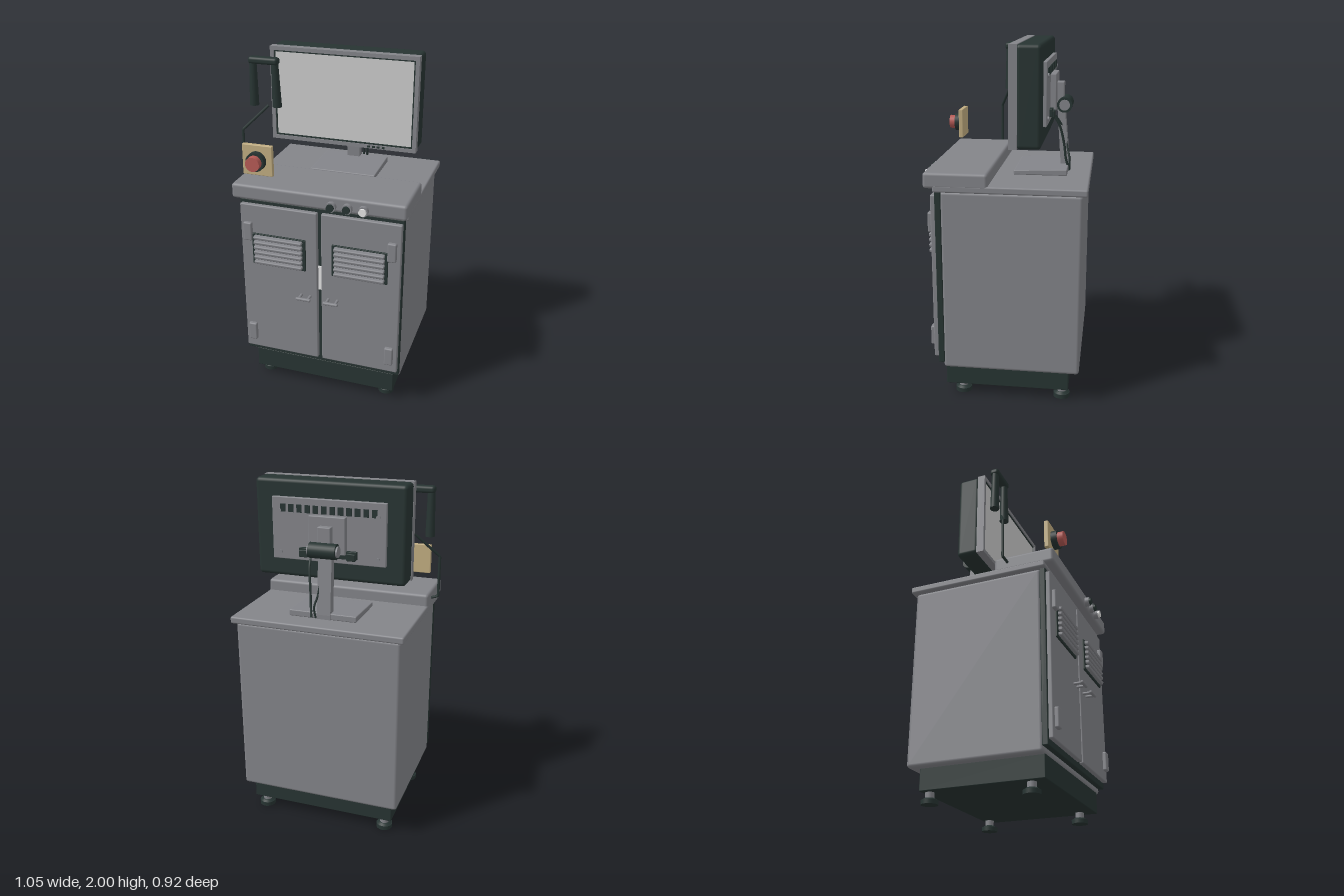
import * as THREE from 'three';
import { RoundedBoxGeometry } from 'three/addons/geometries/RoundedBoxGeometry.js';

const mat = (name, color, side = THREE.FrontSide) => {
  const m = new THREE.MeshStandardMaterial({ color, side });
  m.name = name;
  return m;
};

export function createModel() {
  const grey = mat('grey metal', 0x838489);
  const dark = mat('dark plastic', 0x273432);
  const pale = mat('pale screen', 0xcbcbcb);
  const white = mat('white plastic', 0xe4e4e4);
  const tan = mat('tan plate', 0xc0ac80);
  const red = mat('red button', 0xb55a55);

  const root = new THREE.Group();
  root.name = 'workstation';

  const add = (name, geometry, material, parent = root) => {
    const mesh = new THREE.Mesh(geometry, material);
    mesh.name = name;
    parent.add(mesh);
    return mesh;
  };
  // Box given by its limits on each axis, with optional rounded edges
  const box = (name, material, [x0, x1], [y0, y1], [z0, z1], r = 0) => {
    const s = [x1 - x0, y1 - y0, z1 - z0];
    const g = r ? new RoundedBoxGeometry(...s, 3, r) : new THREE.BoxGeometry(...s);
    g.translate((x0 + x1) / 2, (y0 + y1) / 2, (z0 + z1) / 2);
    return add(name, g, material);
  };
  // Cylinder between two heights / depths / sideways limits along an axis
  const rod = (name, material, axis, r, a, b, x, y, z, r2 = r) => {
    const g = new THREE.CylinderGeometry(r2, r, b - a, 28);
    if (axis === 'z') g.rotateX(Math.PI / 2);
    if (axis === 'x') g.rotateZ(-Math.PI / 2);
    const m = (a + b) / 2;
    g.translate(axis === 'x' ? m : x, axis === 'y' ? m : y, axis === 'z' ? m : z);
    return add(name, g, material);
  };
  const tube = (name, material, points, r, smooth) => {
    const v = points.map(p => new THREE.Vector3(...p));
    let path = new THREE.CatmullRomCurve3(v);
    if (!smooth) {
      path = new THREE.CurvePath();
      for (let i = 1; i < v.length; i++) path.add(new THREE.LineCurve3(v[i - 1], v[i]));
    }
    return add(name, new THREE.TubeGeometry(path, 48, r, 8), material);
  };

  // Cabinet, plinth and worktop
  box('cabinet', grey, [-0.455, 0.5], [0.185, 1.225], [-0.435, 0.335], 0.018);
  box('doorSurround', dark, [-0.455, 0.5], [0.215, 1.225], [0.33, 0.365], 0.006);
  box('plinth', dark, [-0.41, 0.46], [0.065, 0.19], [-0.375, 0.33], 0.004);
  box('worktop', grey, [-0.477, 0.523], [1.225, 1.265], [-0.46, 0.37], 0.01);
  box('controlConsole', grey, [-0.477, 0.523], [1.245, 1.333], [0.07, 0.422], 0.017);

  // Levelling feet
  for (const x of [-0.36, 0.4]) for (const z of [0.24, -0.335]) {
    rod('footPad', dark, 'y', 0.047, 0, 0.024, x, 0, z);
    rod('footCollar', dark, 'y', 0.044, 0.024, 0.034, x, 0, z, 0.03);
    rod('footStem', grey, 'y', 0.025, 0.03, 0.068, x, 0, z);
  }

  // Doors with hinges, louvred vents and handles, mirrored about the middle
  const mid = 0.0235;
  for (const s of [-1, 1]) {
    const span = (a, b) => [mid + s * a, mid + s * b].sort((p, q) => p - q);
    box('door', grey, span(0.012, 0.47), [0.25, 1.203], [0.36, 0.39], 0.007);
    for (const y of [0.31, 0.985]) {
      box('hinge', grey, span(0.397, 0.447), [y, y + 0.112], [0.385, 0.413], 0.008);
    }
    box('ventFrame', dark, span(0.078, 0.4), [0.835, 1.03], [0.385, 0.4], 0.003);
    for (let i = 0; i < 6; i++) {
      const slat = add('ventSlat', new RoundedBoxGeometry(0.29, 0.02, 0.03, 2, 0.006), grey);
      slat.position.set(mid + s * 0.239, 0.857 + i * 0.031, 0.409);
      slat.rotation.x = 0.2;
    }
    box('handleGrip', grey, span(0.037, 0.127), [0.664, 0.681], [0.43, 0.449], 0.007);
    for (const x of [0.055, 0.109]) {
      rod('handlePost', grey, 'z', 0.008, 0.385, 0.44, mid + s * x, 0.672, 0);
    }
  }
  box('latchPlate', white, [0.012, 0.035], [0.715, 0.868], [0.362, 0.371]);

  // Console push buttons
  [[0.11, dark], [0.2, dark], [0.29, white]].forEach(([x, cap]) => {
    rod('buttonRing', grey, 'z', 0.028, 0.418, 0.446, x, 1.278, 0);
    rod('buttonCap', cap, 'z', 0.021, 0.44, 0.458, x, 1.278, 0);
  });

  // Emergency stop
  box('stopPlate', tan, [-0.42, -0.245], [1.38, 1.555], [0.35, 0.376], 0.004);
  rod('stopCollar', dark, 'z', 0.054, 0.374, 0.41, -0.333, 1.467, 0);
  rod('stopButton', red, 'z', 0.041, 0.41, 0.445, -0.333, 1.467, 0);

  // Monitor housing, bezel frame and screen
  box('monitorHousing', dark, [-0.41, 0.455], [1.455, 2], [-0.205, -0.07], 0.022);
  const rect = (P, x0, x1, y0, y1) => {
    const p = new P();
    p.moveTo(x0, y0); p.lineTo(x1, y0); p.lineTo(x1, y1); p.lineTo(x0, y1); p.closePath();
    return p;
  };
  const frame = (name, material, o, i, z, depth) => {
    const shape = rect(THREE.Shape, ...o);
    shape.holes.push(rect(THREE.Path, ...i));
    const g = new THREE.ExtrudeGeometry(shape, { depth, bevelEnabled: false });
    add(name, g.translate(0, 0, z), material);
  };
  frame('bezel', grey, [-0.41, 0.455, 1.455, 2], [-0.388, 0.433, 1.477, 1.978], -0.078, 0.046);
  frame('screenBorder', dark, [-0.388, 0.433, 1.477, 1.978], [-0.38, 0.425, 1.485, 1.97], -0.075, 0.037);
  box('screen', pale, [-0.381, 0.426], [1.484, 1.971], [-0.07, -0.044]);
  for (const x of [0.18, 0.21, 0.236, 0.268]) {
    box('monitorKey', dark, [x - 0.008, x + 0.008], [1.461, 1.472], [-0.034, -0.027]);
  }

  // Monitor back plate with cooling slots, screws and connectors
  box('backPlate', grey, [-0.305, 0.35], [1.56, 1.905], [-0.225, -0.2], 0.004);
  for (let i = 0; i < 12; i++) {
    const x = -0.24 + i * 0.0477;
    box('coolingSlot', dark, [x - 0.015, x + 0.015], [1.825, 1.868], [-0.229, -0.222]);
  }
  for (const x of [-0.26, 0.305]) for (const y of [1.6, 1.83]) {
    rod('screw', grey, 'z', 0.011, -0.233, -0.22, x, y, 0);
  }
  box('connectorPanel', dark, [-0.145, 0.19], [1.59, 1.635], [-0.242, -0.22], 0.003);
  for (const x of [-0.115, 0.16]) {
    box('connector', dark, [x - 0.025, x + 0.025], [1.585, 1.625], [-0.255, -0.235], 0.004);
  }

  // Stand: mounting plate, tilt hinge, neck and foot
  box('mountPlate', grey, [-0.085, 0.125], [1.615, 1.82], [-0.258, -0.22], 0.005);
  box('mountBracket', grey, [-0.015, 0.06], [1.65, 1.77], [-0.297, -0.25], 0.005);
  rod('tiltHinge', dark, 'x', 0.043, -0.055, 0.1, 0, 1.645, -0.303);
  rod('tiltHingeCap', grey, 'x', 0.03, -0.065, 0.11, 0, 1.645, -0.303);
  const side = new THREE.Shape([[0.26, 1.62], [0.3, 1.64], [0.333, 1.29], [0.333, 1.265], [0.285, 1.265]]
    .map(p => new THREE.Vector2(...p)));
  const neck = new THREE.ExtrudeGeometry(side, { depth: 0.078, bevelEnabled: false });
  neck.rotateY(Math.PI / 2).translate(-0.025, 0, 0);
  add('neck', neck, grey);
  const foot = new RoundedBoxGeometry(0.395, 0.036, 0.3, 3, 0.006);
  const fp = foot.attributes.position;
  for (let i = 0; i < fp.count; i++) {
    // top slopes down toward the front
    if (fp.getY(i) > 0) fp.setY(i, fp.getY(i) - 0.01 * (fp.getZ(i) / 0.3 + 0.5));
  }
  foot.computeVertexNormals();
  add('standFoot', foot.translate(0.0225, 1.283, -0.18), grey);

  // Cables behind the neck
  tube('monitorCable', dark, [[0.12, 1.6, -0.235], [0.115, 1.54, -0.275], [0.1, 1.42, -0.305],
    [0.095, 1.34, -0.315], [0.085, 1.27, -0.335]], 0.007, true);
  tube('powerCable', dark, [[0.06, 1.58, -0.25], [0.045, 1.5, -0.3], [0.05, 1.4, -0.32],
    [0.068, 1.33, -0.335], [0.06, 1.27, -0.335]], 0.006, true);

  // Light guard: an arch with flared round legs on a bent rod
  const leg = (top, bottom) => {
    const g = new THREE.CylinderGeometry(0.02, 0.027, 0.27, 20);
    const p = g.attributes.position;
    for (let i = 0; i < p.count; i++) {
      const t = p.getY(i) / 0.27 + 0.5;
      p.setX(i, p.getX(i) + bottom + (top - bottom) * t);
    }
    g.computeVertexNormals();
    add('archLeg', g.translate(0, 1.815, 0.067), dark);
  };
  leg(-0.472, -0.474);
  leg(-0.342, -0.334);
  box('archBar', dark, [-0.495, -0.317], [1.92, 1.96], [0.04, 0.094], 0.016);
  tube('archRod', dark, [[-0.385, 1.685, 0.07], [-0.52, 1.55, 0.14], [-0.52, 1.312, 0.14],
    [-0.47, 1.293, 0.152]], 0.008, false);

  return root;
}
